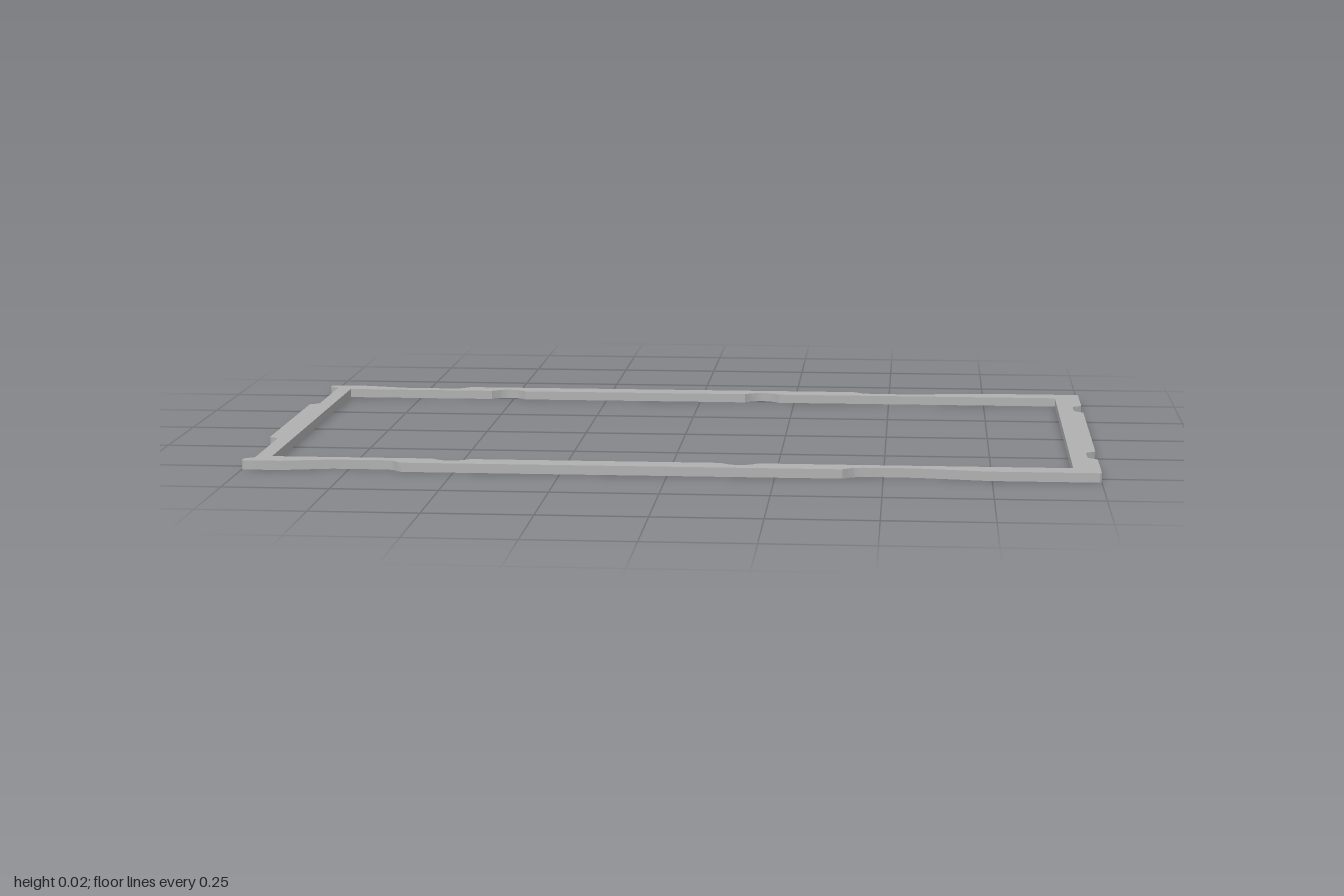
import * as THREE from 'three';
import { toCreasedNormals } from 'three/addons/utils/BufferGeometryUtils.js';

const HEIGHT = 0.022;
const EDGE = 0.541;   // outer half depth
const WAIST = 0.515;  // half depth inside the long-side recesses
const INNER = 0.484;  // opening half depth

// Close a half outline (z > 0) by mirroring it across z = 0
function mirrored(path) {
  const half = path.getPoints(10);
  const other = half.map(p => new THREE.Vector2(p.x, -p.y)).reverse();
  return [...half, ...other];
}

function outerOutline() {
  const p = new THREE.Path();
  // right end with a small grip notch
  p.moveTo(1, 0.268);
  p.bezierCurveTo(0.995, 0.28, 0.977, 0.28, 0.977, 0.297);
  p.lineTo(0.977, 0.347);
  p.bezierCurveTo(0.977, 0.36, 0.99, 0.36, 1, 0.372);
  p.lineTo(1, EDGE - 0.004);
  p.lineTo(0.996, EDGE);
  // long side: shallow recess, straight middle, second recess
  p.lineTo(0.74, EDGE);
  p.lineTo(0.59, 0.519);
  p.quadraticCurveTo(0.54, WAIST - 0.002, 0.46, WAIST + 0.002);
  p.bezierCurveTo(0.42, 0.519, 0.425, 0.53, 0.405, EDGE);
  p.lineTo(-0.622, EDGE);
  p.bezierCurveTo(-0.642, 0.53, -0.637, WAIST, -0.668, WAIST);
  p.lineTo(-0.79, WAIST);
  p.lineTo(-0.91, EDGE);
  p.lineTo(-0.996, EDGE);
  // left end with a long recess
  p.lineTo(-1, EDGE - 0.004);
  p.lineTo(-1, 0.518);
  p.bezierCurveTo(-0.99, 0.505, -0.977, 0.51, -0.977, 0.492);
  p.lineTo(-0.977, 0.262);
  p.bezierCurveTo(-0.977, 0.245, -0.99, 0.247, -1, 0.234);
  return mirrored(p);
}

function innerOutline() {
  const p = new THREE.Path();
  p.moveTo(0.937, 0.1);
  p.lineTo(0.937, INNER);
  // scalloped notches along the long side
  for (const x of [0.165, -0.513]) {
    p.lineTo(x + 0.045, INNER);
    p.quadraticCurveTo(x, INNER + 0.046, x - 0.045, INNER);
  }
  p.lineTo(-0.94, INNER);
  p.lineTo(-0.94, 0.1);
  return mirrored(p);
}

export function createModel() {
  const group = new THREE.Group();
  group.name = 'gasketFrame';
  const grey = new THREE.MeshStandardMaterial({ name: 'grey', color: 0xb0b0b0 });

  const shape = new THREE.Shape(outerOutline());
  shape.holes.push(new THREE.Path(innerOutline()));
  const geometry = new THREE.ExtrudeGeometry(shape, { depth: HEIGHT, bevelEnabled: false });
  geometry.rotateX(Math.PI / 2).translate(0, HEIGHT, 0);

  const frame = new THREE.Mesh(toCreasedNormals(geometry, 0.5), grey);
  frame.name = 'frame';
  group.add(frame);
  return group;
}
